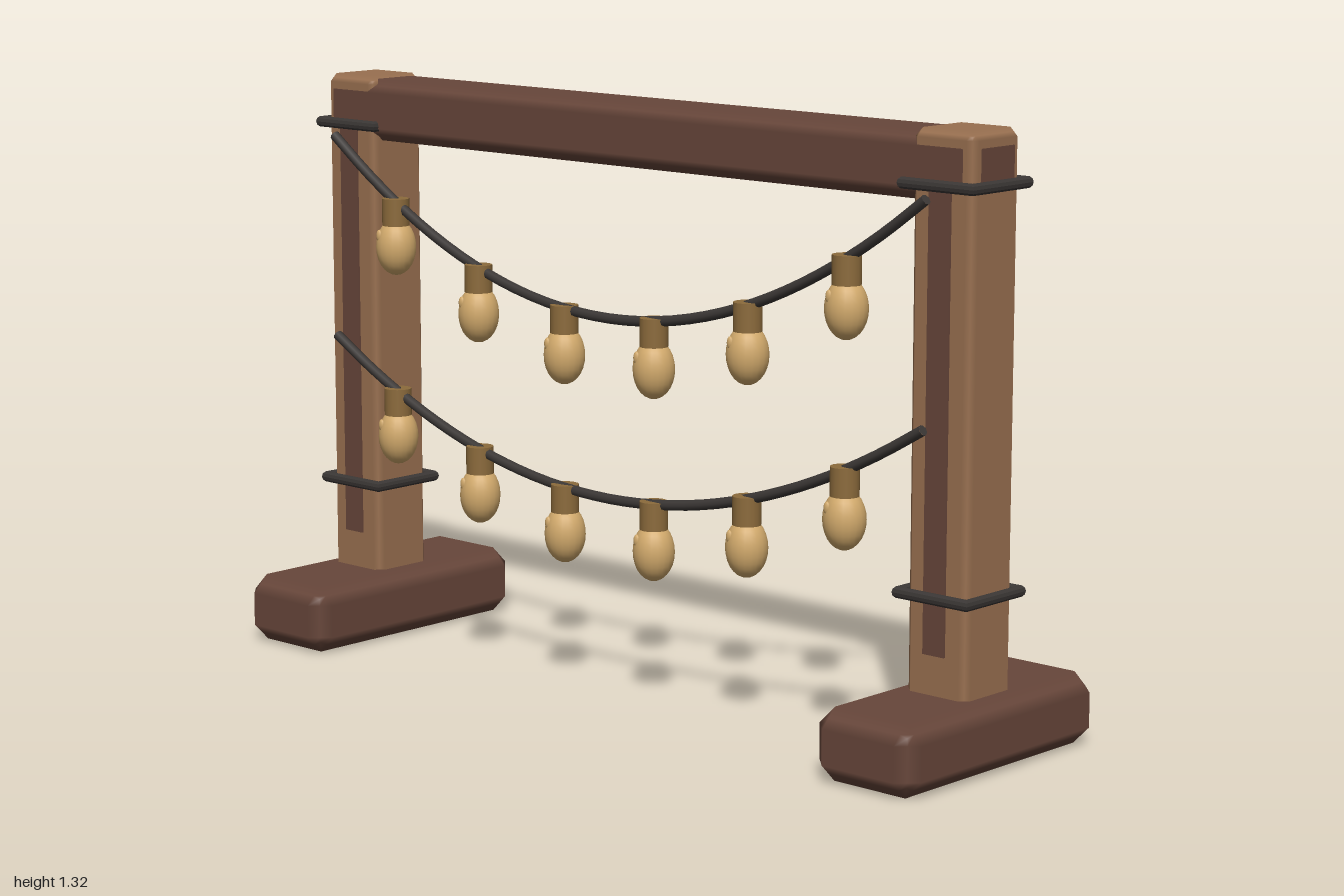
import * as THREE from 'three';

const mat = (name, color) => Object.assign(new THREE.MeshStandardMaterial({ color }), { name });

// Box with one straight chamfer per edge and softly blended chamfer normals
function chamferBox(w, h, d, c) {
  const geo = new THREE.BoxGeometry(w, h, d, 3, 3, 3);
  const half = [w / 2, h / 2, d / 2];
  const pos = geo.attributes.position, nor = geo.attributes.normal;
  for (let i = 0; i < pos.count; i++) {
    const p = [pos.getX(i), pos.getY(i), pos.getZ(i)];
    const outer = p.map((v, a) => Math.abs(v) > half[a] * 0.9);
    const k = outer.filter(Boolean).length;
    const q = p.map((v, a) => Math.sign(v) * (half[a] - c * (outer[a] ? (k - 1) / k : 1)));
    const n = new THREE.Vector3(...p.map((v, a) => (outer[a] ? Math.sign(v) : 0))).normalize();
    pos.setXYZ(i, ...q);
    nor.setXYZ(i, n.x, n.y, n.z);
  }
  return geo;
}

export function createModel() {
  const model = new THREE.Group();
  model.name = 'lightFrame';

  const darkWood = mat('dark wood', 0x67463a);
  const lightWood = mat('light wood', 0x997050);
  const iron = mat('dark cable', 0x3b3735);
  const brass = mat('brass socket', 0x8c6b3c);
  const glass = mat('warm glass', 0xd2aa6c);

  const add = (parent, name, geo, material, x = 0, y = 0, z = 0) => {
    const mesh = new THREE.Mesh(geo, material);
    mesh.name = name;
    mesh.position.set(x, y, z);
    parent.add(mesh);
    return mesh;
  };

  // Feet, posts, front strips and wire bands on both sides
  const footGeo = chamferBox(0.265, 0.155, 0.64, 0.04);
  const postGeo = chamferBox(0.16, 1.215, 0.16, 0.018);
  const stripGeo = new THREE.BoxGeometry(0.055, 0.95, 0.008);
  const bandGeo = new THREE.TorusGeometry(0.089 * Math.SQRT2, 0.0125, 10, 4)
    .toNonIndexed()
    .rotateZ(Math.PI / 4)
    .rotateX(Math.PI / 2);
  bandGeo.computeVertexNormals();
  for (const side of [-1, 1]) {
    const support = new THREE.Group();
    support.name = side > 0 ? 'leftSupport' : 'rightSupport';
    model.add(support);
    add(support, 'foot', footGeo, darkWood, side * 0.8675, 0.0775, 0);
    add(support, 'post', postGeo, lightWood, side * 0.87, 0.7075, 0);
    add(support, 'frontStrip', stripGeo, darkWood, side * 0.87, 0.715, 0.081);
    for (const y of [0.36, 1.203]) add(support, 'wireBand', bandGeo, iron, side * 0.868, y, 0);
  }

  // Top beam, its chamfered edges leaving the post tops showing
  add(model, 'topBeam', chamferBox(1.904, 0.141, 0.164, 0.03), darkWood, 0, 1.2385, 0);

  // Two hanging strings of bulbs
  const socketGeo = new THREE.CylinderGeometry(0.031, 0.031, 0.062, 16);
  const bulbGeo = new THREE.SphereGeometry(1, 20, 14).scale(0.046, 0.065, 0.046);
  const glintGeo = new THREE.SphereGeometry(1, 10, 8).scale(0.008, 0.014, 0.006);
  const span = 0.87, cableZ = 0.127;
  for (const [name, low, sag] of [['upperString', 0.847, 0.333], ['lowerString', 0.449, 0.265]]) {
    const string = new THREE.Group();
    string.name = name;
    model.add(string);
    const height = (x) => low + sag * (x / span) ** 2;

    const points = [];
    for (let i = 0; i <= 16; i++) {
      const x = span * (i / 8 - 1);
      points.push(new THREE.Vector3(x, height(x), cableZ));
    }
    const curve = new THREE.CatmullRomCurve3(points);
    add(string, 'cable', new THREE.TubeGeometry(curve, 40, 0.0115, 8), iron);
    // Cable end caps
    for (const side of [-1, 1]) {
      const cap = add(string, 'cableEnd', new THREE.CircleGeometry(0.0115, 8), iron, side * span, height(span), cableZ);
      const out = curve.getTangent(side > 0 ? 1 : 0).multiplyScalar(side);
      cap.quaternion.setFromUnitVectors(new THREE.Vector3(0, 0, 1), out);
    }

    for (let i = 0; i < 6; i++) {
      const x = (i - 2.5) * 0.267;
      const lamp = new THREE.Group();
      lamp.name = 'lamp';
      lamp.position.set(x, height(x), cableZ);
      string.add(lamp);
      add(lamp, 'socket', socketGeo, brass, 0, -0.023, 0);
      add(lamp, 'bulb', bulbGeo, glass, 0, -0.103, 0);
      add(lamp, 'bulbGlint', glintGeo, glass, -0.016, -0.076, 0.037);
    }
  }

  return model;
}
